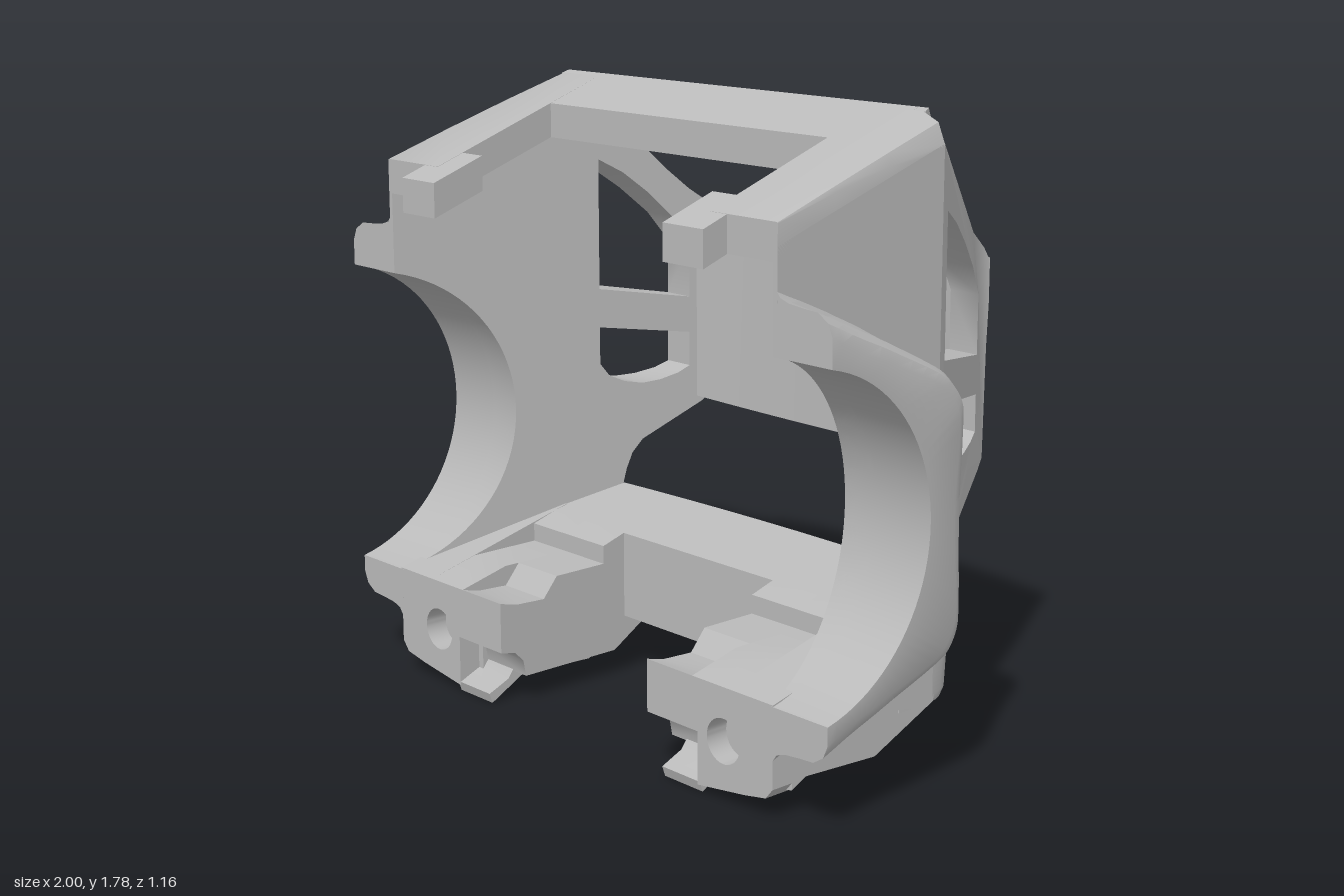
import * as THREE from 'three';
import { toCreasedNormals } from 'three/addons/utils/BufferGeometryUtils.js';

const { lerp, clamp } = THREE.MathUtils;

// Makes every face point outward by checking the enclosed volume.
function orient(geo) {
  const p = geo.attributes.position;
  const a = new THREE.Vector3(), b = new THREE.Vector3(), c = new THREE.Vector3();
  let volume = 0;
  for (let i = 0; i < p.count; i += 3) {
    a.fromBufferAttribute(p, i); b.fromBufferAttribute(p, i + 1); c.fromBufferAttribute(p, i + 2);
    volume += a.dot(b.cross(c));
  }
  if (volume < 0) {
    for (let i = 0; i < p.count; i += 3) {
      b.fromBufferAttribute(p, i + 1); c.fromBufferAttribute(p, i + 2);
      p.setXYZ(i + 1, c.x, c.y, c.z);
      p.setXYZ(i + 2, b.x, b.y, b.z);
    }
  }
  return geo;
}

// Solid through a row of equal closed cross-sections of [x, y, z] points.
function loft(sections) {
  const n = sections[0].length, pos = [];
  const tri = (a, b, c) => pos.push(...a, ...b, ...c);
  for (let s = 0; s < sections.length - 1; s++) {
    for (let i = 0; i < n; i++) {
      const j = (i + 1) % n, A = sections[s], B = sections[s + 1];
      tri(A[i], A[j], B[j]);
      tri(A[i], B[j], B[i]);
    }
  }
  const first = sections[0], last = sections[sections.length - 1];
  for (let i = 1; i < n - 1; i++) {
    tri(first[0], first[i + 1], first[i]);
    tri(last[0], last[i], last[i + 1]);
  }
  const geo = new THREE.BufferGeometry();
  geo.setAttribute('position', new THREE.Float32BufferAttribute(pos, 3));
  return orient(geo);
}

// Side-profile outline of [z, y] points, spread between two x surfaces.
function slab(outline, inner, outer, holes = [], tilt = 0) {
  const path = pts => pts.map(([z, y]) => new THREE.Vector2(-z, y));
  const shape = new THREE.Shape(path(outline));
  holes.forEach(h => shape.holes.push(new THREE.Path(path(h))));
  let geo = new THREE.ExtrudeGeometry(shape, { depth: 1, bevelEnabled: false });
  if (geo.index) geo = geo.toNonIndexed();
  geo.deleteAttribute('uv');
  geo.deleteAttribute('normal');
  const p = geo.attributes.position;
  for (let i = 0; i < p.count; i++) {
    const z = -p.getX(i), y = p.getY(i), t = p.getZ(i);
    p.setXYZ(i, lerp(inner(z, y), outer(z, y), t), y + (y < 0.15 ? tilt * t : 0), z);
  }
  return orient(geo);
}

const at = x => () => x;
const innerWall = z => 0.661 + 0.27 * z;
const roofY = z => 1.56 + 0.363 * (0.5 - z);

export function createModel() {
  const model = new THREE.Group();
  const grey = new THREE.MeshStandardMaterial({ color: 0xbababa, side: THREE.DoubleSide });
  grey.name = 'body grey';

  const add = (name, geo) => {
    const mesh = new THREE.Mesh(toCreasedNormals(geo, 0.6), grey);
    mesh.name = name;
    model.add(mesh);
  };
  const addPair = (name, geo) => {
    const mirrored = orient(geo.clone().scale(-1, 1, 1));
    add(name + 'Left', geo);
    add(name + 'Right', mirrored);
  };

  // Wheel arch curve, shared by the side wall and the flare
  const steps = 40, arch = [];
  for (let i = 0; i <= steps; i++) {
    const a = THREE.MathUtils.degToRad(lerp(102.4, 257.6, i / steps));
    arch.push([0.6 + 0.465 * Math.cos(a), 0.77 + 0.465 * Math.sin(a)]);
  }

  // Side walls ahead of the windows
  addPair('frontSideWall', slab(
    [[0.5, 1.5], ...arch, [0.5, 0.28], [-0.02, 0.18], [-0.1, 0.18], [-0.1, 1.70]],
    innerWall, at(0.81)));

  // Tapered rear side walls with two window openings, widening into the bumper
  const pillarTop = [[-0.1, 1.777], [-0.12, 1.785], [-0.2, 1.655], [-0.28, 1.56],
    [-0.36, 1.48], [-0.44, 1.41], [-0.52, 1.355]];
  const isTop = (z, y) => pillarTop.some(p => Math.hypot(p[0] - z, p[1] - y) < 0.005);
  const rearOuter = (z, y) => {
    const t = (-0.1 - z) / 0.44;
    const foot = z < -0.15 ? clamp((0.64 - y) / 0.16, 0, 1) * 0.04 : 0;
    return lerp(0.81, 0.595, t) + foot - (isTop(z, y) ? lerp(0.07, 0.01, t) : 0);
  };
  addPair('rearSideWall', slab(
    [[-0.1, 1.70], ...pillarTop, [-0.54, 1.32], [-0.515, 0.755], [-0.48, 0.73], [-0.28, 0.63],
      [-0.245, 0.59], [-0.225, 0.54], [-0.21, 0.48], [-0.1, 0.46]],
    innerWall, rearOuter,
    [[[-0.14, 1.52], [-0.22, 1.475], [-0.3, 1.41], [-0.38, 1.33], [-0.44, 1.24], [-0.44, 1.07], [-0.14, 1.12]],
      [[-0.14, 1.0], [-0.44, 0.957], [-0.44, 0.85], [-0.4, 0.83], [-0.34, 0.815], [-0.28, 0.81],
        [-0.22, 0.822], [-0.17, 0.845], [-0.14, 0.885]]]));

  // Wheel flares swept around the arch
  const crest = new THREE.CatmullRomCurve3(
    [[0.5, 1.36], [0.26, 1.255], [0.05, 1.15], [-0.015, 1.07], [-0.015, 0.77], [-0.015, 0.46],
      [0.03, 0.385], [0.26, 0.295], [0.5, 0.205]].map(([z, y]) => new THREE.Vector3(0, y, z)),
    false, 'catmullrom', 0.25);
  addPair('wheelFlare', loft(arch.map(([z, y], i) => {
    const o = crest.getPoint(i / steps);
    const dir = new THREE.Vector3(0, o.y - y, o.z - z).normalize();
    const rim = (x, d) => [x, o.y + dir.y * d, o.z + dir.z * d];
    return [[innerWall(z), y, z], [1, y, z], rim(1, -0.06), rim(0.985, -0.025), rim(0.95, -0.003),
      rim(0.9, 0), rim(0.85, 0.005), rim(0.82, 0.015), rim(0.805, 0.035)];
  })));

  // Roof: side rails with a growing chamfer, cross strip, front tabs
  addPair('roofRail', loft([[0.5, 0.004], [0.3, 0.02], [0.1, 0.045], [-0.1, 0.08]].map(([z, c]) => {
    const y = roofY(z);
    return [[0.57, y, z], [0.81 - c, y, z], [0.81 - c * 0.3, y - c * 0.3, z], [0.81, y - c, z],
      [0.81, y - 0.1, z], [0.57, y - 0.1, z]];
  })));
  add('roofStrip', slab(
    [[0.085, 1.71], [-0.12, 1.785], [-0.15, 1.735], [-0.13, 1.69], [0.085, 1.61]],
    at(-0.7), at(0.7)));
  addPair('roofTab', slab(
    [[0.58, 1.43], [0.58, 1.53], [0.41, 1.592], [0.41, 1.492]], at(0.48), at(0.63)));

  // Curved tailgate panel with a sloping sill
  const gate = [];
  for (let i = 0; i <= 16; i++) {
    const x = lerp(-0.595, 0.595, i / 16), k = (x / 0.595) ** 2, z = -0.582 + 0.04 * k, xi = x * 0.93;
    gate.push([[x, 1.345 - 0.02 * k, z], [x, 1.2, z], [x, 0.95, z + 0.013], [x, 0.75 + 0.015 * k, z + 0.03],
      [xi, 0.73 + 0.02 * k, z + 0.08], [xi, 1.41 - 0.04 * k, z + 0.08]]);
  }
  add('tailgate', loft(gate));

  // Wrapped rear bumper
  const corner = [[0.808, -0.09], [0.803, -0.15], [0.79, -0.18], [0.765, -0.198], [0.72, -0.208],
    [0.65, -0.214], [0.5, -0.223], [0.32, -0.23], [0.15, -0.234]];
  const bumperPlan = [...corner.map(([x, z]) => [-x, z]), [0, -0.235], ...corner.slice().reverse()];
  add('rearBumper', loft(bumperPlan.map(([x, z]) => [
    [x, 0.44, 0.03], [x, 0.495, z], [x, 0.3, z + 0.005], [x, 0.205, z + 0.012],
    [x, 0.18, z + 0.03], [x, 0.18, 0.03]])));

  // Lower arms beside the centre channel, with a stepped deck pocket
  const front = [[0.43, 0.25], [0.5, 0.25], [0.5, 0.32]];
  const under = [[-0.11, 0.2], [-0.11, 0.18], [0.12, 0.05], [0.38, 0.065], [0.43, 0.04]];
  const pocket = [[0.34, 0.36], [0.11, 0.36], [0.11, 0.415], [0.03, 0.44], [-0.02, 0.45]];
  addPair('lowerArmOuter', slab([...front, [-0.02, 0.453], ...under], at(0.65), at(0.805), [], 0.03));
  addPair('lowerArmMiddle', slab([...front, ...pocket, ...under], at(0.5), at(0.65)));
  addPair('lowerArmInner', slab(
    [[0.5, 0.32], [0.44, 0.305], [0.34, 0.3], [0.29, 0.36], ...pocket.slice(1),
      [-0.1, 0.185], [0.07, 0.08], [0.41, 0.08], [0.42, 0.13], [0.45, 0.16], [0.5, 0.17]],
    at(0.32), at(0.5)));
  addPair('lowerHook', slab(
    [[0.4, 0.18], [-0.1, 0.18], [0.12, 0.05], [0.38, 0.06], [0.49, 0],
      [0.5, 0.03], [0.43, 0.06], [0.4, 0.1]], at(0.38), at(0.53)));

  // Front end plates with round sockets
  const plate = new THREE.Shape([[0.52, 0.02], [0.7, 0.045], [0.78, 0.06], [0.805, 0.09], [0.805, 0.25],
    [0.5, 0.25], [0.5, 0.17], [0.52, 0.17]].map(([x, y]) => new THREE.Vector2(x, y)));
  plate.holes.push(new THREE.Path().absarc(0.62, 0.17, 0.063, 0, Math.PI * 2, true));
  let plateGeo = new THREE.ExtrudeGeometry(plate, { depth: 0.08, bevelEnabled: false, curveSegments: 24 });
  plateGeo.translate(0, 0, 0.42);
  if (plateGeo.index) plateGeo = plateGeo.toNonIndexed();
  addPair('frontPlate', plateGeo);

  return model;
}
